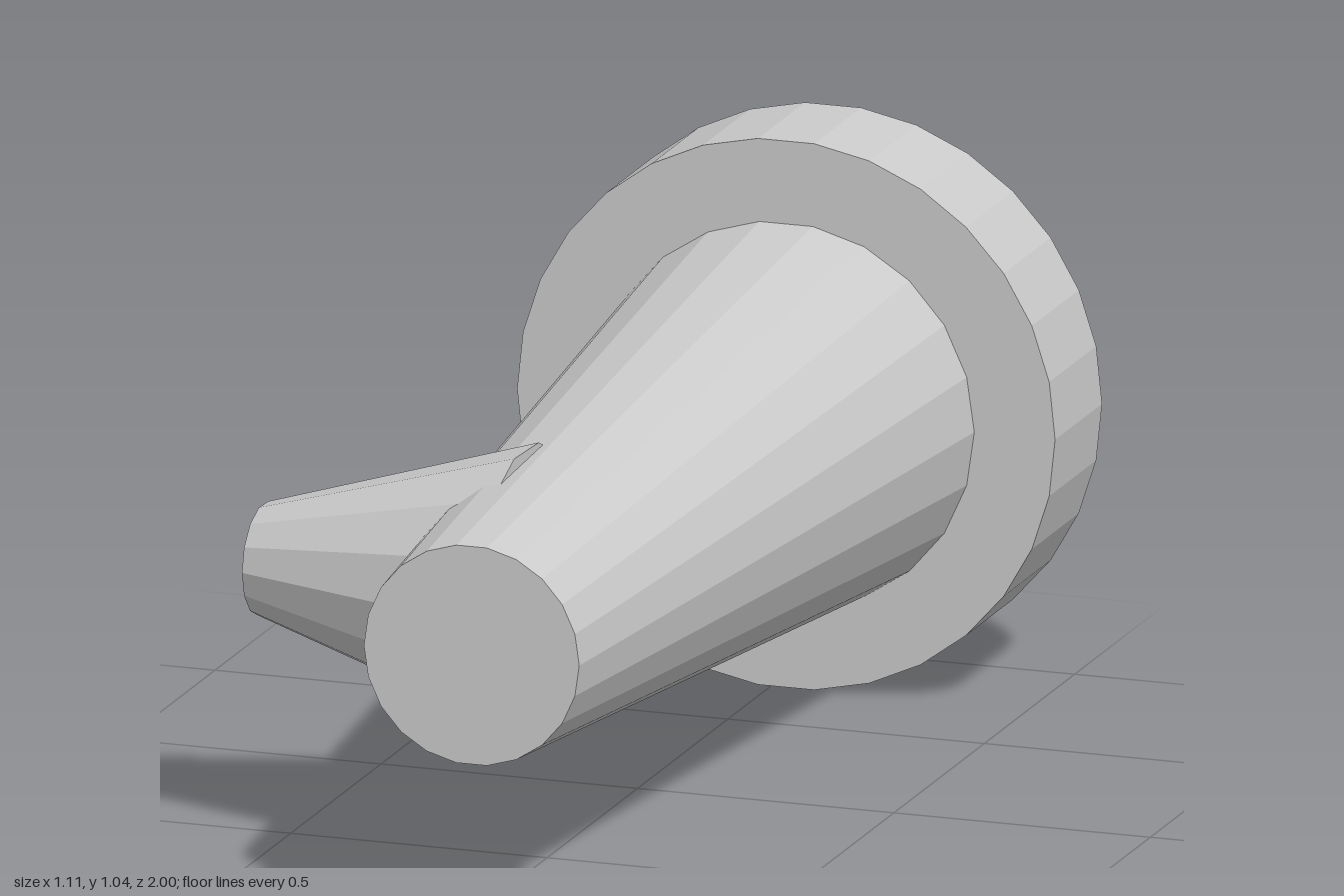
import * as THREE from 'three';

const material = new THREE.MeshStandardMaterial({ color: 0xcccccc, flatShading: true });
const AXIS_X = 0.029, AXIS_Y = 0.5225;

// Faceted round part running along z, with a corner on the +x side
function roundAlongZ(name, backRadius, frontRadius, backZ, frontZ, sides) {
  const geometry = new THREE.CylinderGeometry(
    frontRadius, backRadius, frontZ - backZ, sides, 1, false, Math.PI / 2);
  geometry.rotateX(Math.PI / 2);
  const mesh = new THREE.Mesh(geometry, material);
  mesh.name = name;
  mesh.position.set(AXIS_X, AXIS_Y, (backZ + frontZ) / 2);
  return mesh;
}

export function createModel() {
  const model = new THREE.Group();
  model.name = 'taperedPlug';

  // Wide disc at the back and the tapered barrel in front of it
  model.add(roundAlongZ('flange', 0.5245, 0.5245, -1, -0.74, 30));
  model.add(roundAlongZ('taperedBarrel', 0.367, 0.21, -0.74, 1, 22));

  // Conical side spout, narrowing outwards and turned slightly backwards
  const spoutGeometry = new THREE.CylinderGeometry(0.106, 0.268, 0.522, 14);
  spoutGeometry.rotateZ(Math.PI / 2);
  const spout = new THREE.Mesh(spoutGeometry, material);
  spout.name = 'sideSpout';
  spout.position.set(-0.29, AXIS_Y, 0.518);
  spout.rotation.y = -0.048;
  model.add(spout);

  return model;
}
